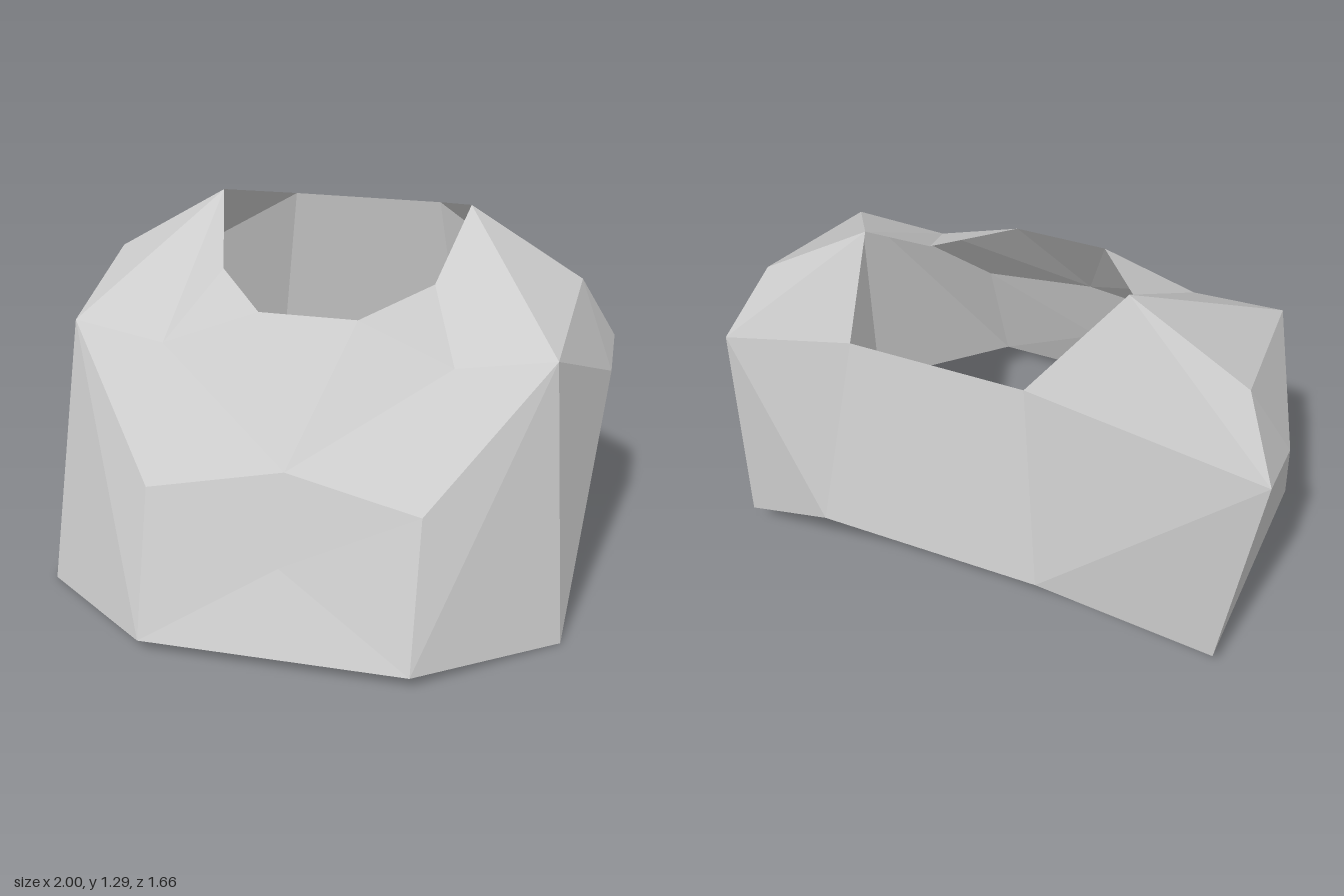
import * as THREE from 'three';

// Corner points of the left (+x) half; a trailing "*" in a face means the mirrored point
const P = {
  hem: [0.46, 0.05, 0.83], hemSide: [0.915, 0, 0.455], hemRear: [0.91, 0.09, -0.54], hemBack: [0.38, 0.5, -0.83],
  belly: [0, 0.325, 0.715], chest: [0, 0.63, 0.62], breast: [0.46, 0.545, 0.665],
  collar: [0.5, 0.92, 0.33], shoulder: [0.83, 0.96, 0.29],
  rimFront: [0.17, 1.045, 0.29], rimSide: [0.38, 1.085, 0], rimPeak: [0.46, 1.29, -0.29], rimBack: [0.29, 1.17, -0.71],
  sleeve: [1, 0.75, -0.17], sleeveBack: [1, 0.79, -0.42], sleeveTop: [0.87, 1.045, -0.29],
};

// Faces that are mirrored to both sides
const halves = {
  frontPanel: [
    'belly hem breast', 'belly breast chest', 'chest breast collar', 'breast shoulder collar', 'chest collar rimFront',
  ],
  collar: ['collar rimSide rimFront', 'collar rimPeak rimSide', 'collar shoulder rimPeak'],
  sidePanel: [
    'hem hemSide shoulder', 'hem shoulder breast', 'hemSide sleeve shoulder',
    'hemSide hemRear sleeve', 'hemRear sleeveBack sleeve',
  ],
  shoulder: [
    'shoulder sleeve sleeveTop', 'sleeve sleeveBack sleeveTop', 'shoulder sleeveTop rimPeak',
    'sleeveTop sleeveBack rimPeak', 'sleeveBack rimBack rimPeak',
  ],
  rearPanel: ['hemRear hemBack sleeveBack', 'hemBack rimBack sleeveBack'],
};

// Faces that cross the middle
const middles = {
  frontCentre: ['hem* hem belly', 'chest rimFront rimFront*'],
  backCentre: ['hemBack hemBack* rimBack*', 'hemBack rimBack* rimBack'],
};

function point(key, side) {
  const flip = key.endsWith('*') ? -1 : 1;
  const [x, y, z] = P[key.replace('*', '')];
  return [x * flip * side, y, z];
}

function panel(name, faces, side, material) {
  const pos = [];
  for (const face of faces) {
    const keys = face.split(' ');
    if (side < 0) keys.reverse();
    for (const key of keys) pos.push(...point(key, side));
  }
  const geo = new THREE.BufferGeometry();
  geo.setAttribute('position', new THREE.Float32BufferAttribute(pos, 3));
  geo.computeVertexNormals();
  const mesh = new THREE.Mesh(geo, material);
  mesh.name = name;
  return mesh;
}

export function createModel() {
  const group = new THREE.Group();
  group.name = 'facetedShell';
  const grey = new THREE.MeshStandardMaterial({ color: 0xcccccc, flatShading: true, side: THREE.DoubleSide });
  grey.name = 'light grey';

  for (const [name, faces] of Object.entries(halves)) {
    group.add(panel(name + 'Left', faces, 1, grey));
    group.add(panel(name + 'Right', faces, -1, grey));
  }
  for (const [name, faces] of Object.entries(middles)) group.add(panel(name, faces, 1, grey));
  return group;
}
